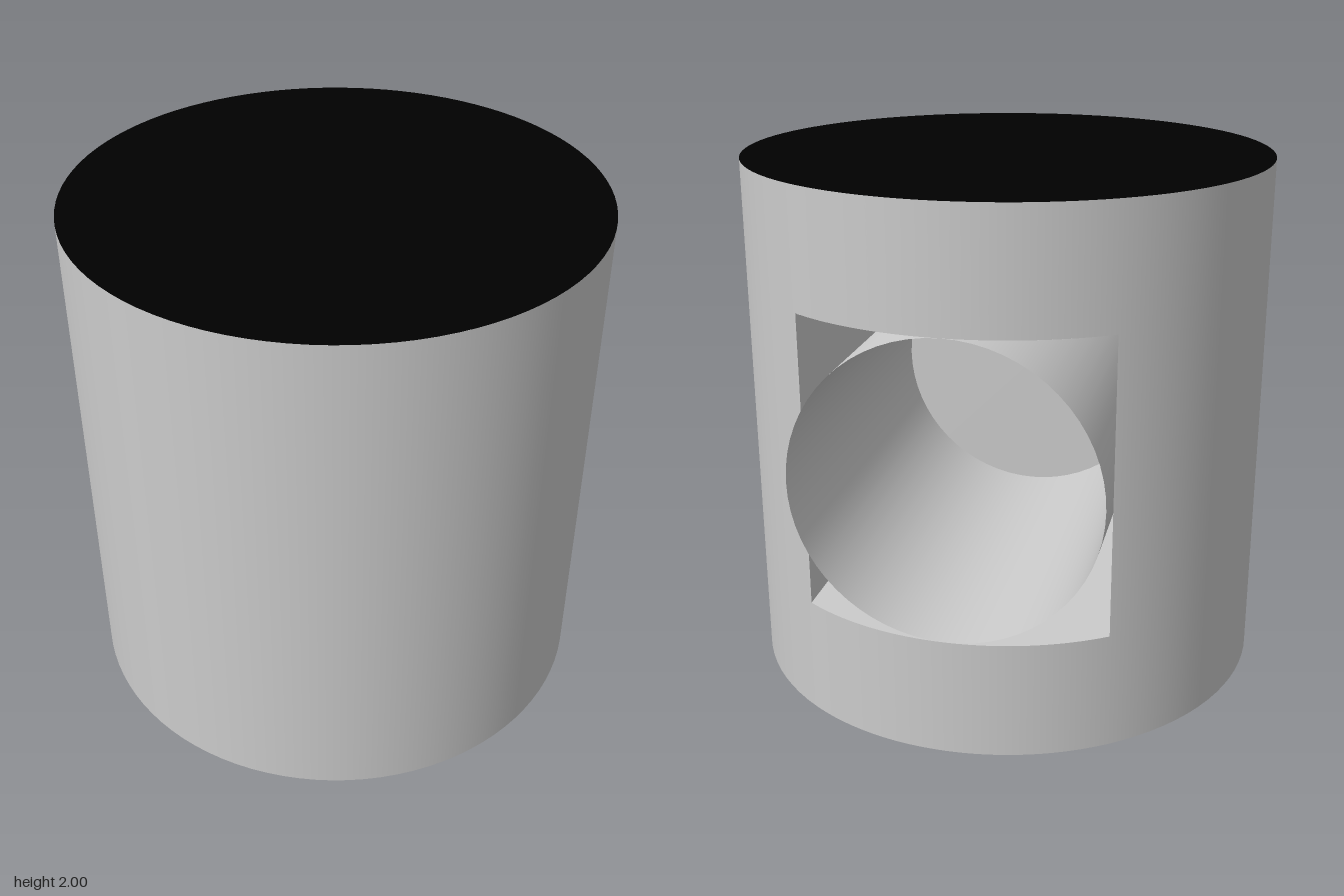
import * as THREE from 'three';

export function createModel() {
  const model = new THREE.Group();
  const grey = new THREE.MeshStandardMaterial({ color: 0xcccccc });
  const thin = new THREE.MeshStandardMaterial({ color: 0xcccccc, side: THREE.DoubleSide });
  const black = new THREE.MeshStandardMaterial({ color: 0x000000 });

  const R = 1, H = 2, r = 0.555;      // drum radius and height, port radius
  const low = 1 - r, high = 1 + r;    // bottom and top of the square opening
  const a = Math.asin(r / R);         // half angle of the opening
  const lip = -R * Math.cos(a);       // z where the opening's sides meet the drum
  const inner = 0.5;                  // z of the closed inner end

  const add = (name, geometry, material, x = 0, y = 0, z = 0) => {
    const mesh = new THREE.Mesh(geometry, material);
    mesh.name = name;
    mesh.position.set(x, y, z);
    model.add(mesh);
    return mesh;
  };

  // Drum wall, leaving a square opening at the back
  const wall = (name, y0, y1, start, sweep, segments) => add(name,
    new THREE.CylinderGeometry(R, R, y1 - y0, segments, 1, true, start, sweep), grey, 0, (y0 + y1) / 2);
  wall('drumWall', 0, H, Math.PI + a, 2 * Math.PI - 2 * a, 80);
  wall('wallBelowOpening', 0, low, Math.PI - a, 2 * a, 24);
  wall('wallAboveOpening', high, H, Math.PI - a, 2 * a, 24);

  // Black top and grey base
  add('topCap', new THREE.CircleGeometry(R, 96), black, 0, H).rotation.x = -Math.PI / 2;
  add('base', new THREE.CircleGeometry(R, 96), grey).rotation.x = Math.PI / 2;

  // Square recess: curved-edged floor and ceiling, two sides and an end wall
  const outline = new THREE.Shape();
  outline.moveTo(-r, inner);
  outline.lineTo(-r, lip);
  outline.absarc(0, 0, R, -Math.PI / 2 - a, -Math.PI / 2 + a, false);
  outline.lineTo(r, inner);
  const floor = new THREE.ShapeGeometry(outline, 24).rotateX(Math.PI / 2);
  add('recessCeiling', floor, thin, 0, high);
  add('recessFloor', floor, thin, 0, low);
  for (const side of [-1, 1]) {
    add('recessSide', new THREE.PlaneGeometry(inner - lip, 2 * r), thin,
      side * r, 1, (inner + lip) / 2).rotation.y = -side * Math.PI / 2;
  }
  add('recessEnd', new THREE.PlaneGeometry(2 * r, 2 * r), thin, 0, 1, inner).rotation.y = Math.PI;

  // Thin round tube reaching out through the opening
  add('portTube', new THREE.CylinderGeometry(r, r, inner + R, 64, 1, true).rotateX(Math.PI / 2),
    thin, 0, 1, (inner - R) / 2);

  return model;
}
